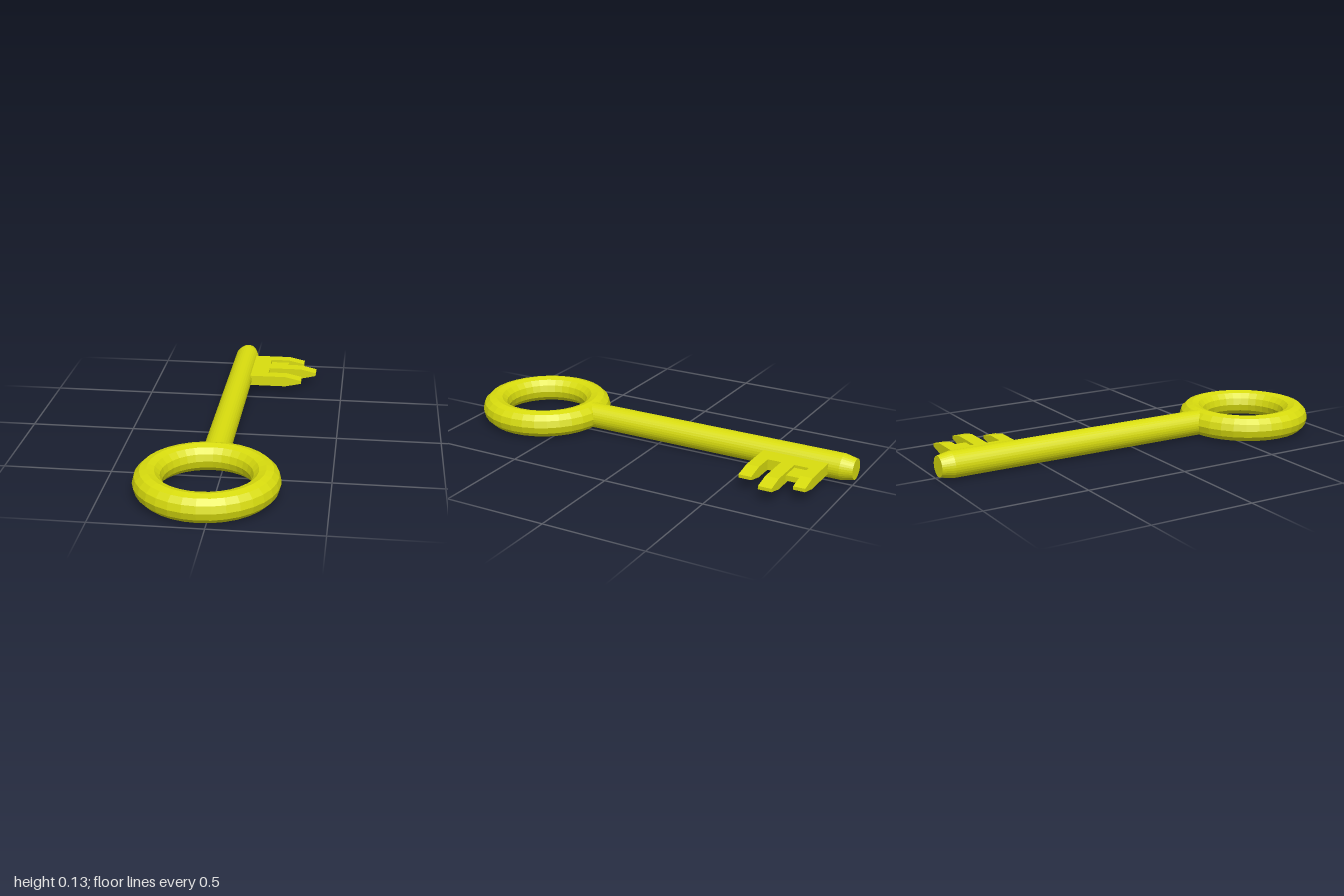
import * as THREE from 'three';

const CX = -0.037; // axis shared by ring and shaft
const CY = 0.065;  // mid-height of the key

export function createModel() {
  const key = new THREE.Group();
  key.name = 'key';
  const material = new THREE.MeshStandardMaterial({ color: 0xd8dc0e, flatShading: true });

  const add = (name, geometry, parent = key) => {
    const mesh = new THREE.Mesh(geometry, material);
    mesh.name = name;
    parent.add(mesh);
    return mesh;
  };

  // Ring handle, lying flat
  const ring = add('ringHandle', new THREE.TorusGeometry(0.26, 0.065, 12, 32).rotateX(Math.PI / 2));
  ring.position.set(CX, CY, 0.675);

  // Round shaft with a tapered tip at the back
  const profile = [[0, -0.4], [0.062, -0.4], [0.062, 0.94], [0.049, 1], [0, 1]]
    .map(([r, h]) => new THREE.Vector2(r, h));
  const shaft = add('shaft', new THREE.LatheGeometry(profile, 32).rotateX(-Math.PI / 2));
  shaft.position.set(CX, CY, 0);

  // Bit: a plate on the left side carrying three tapered teeth
  const bit = new THREE.Group();
  bit.name = 'bit';
  key.add(bit);

  const slab = (name, x0, x1, z0, z1, thickness) => {
    const g = new THREE.BoxGeometry(x1 - x0, thickness, z1 - z0);
    add(name, g, bit).position.set((x0 + x1) / 2, CY, (z0 + z1) / 2);
  };
  slab('bitPlate', CX, 0.11, -0.887, -0.568, 0.052);
  // Thinner web between the rear two teeth
  slab('bitWeb', 0.105, 0.205, -0.832, -0.758, 0.026);

  // Each tooth thins toward its end
  const tooth = (name, xTaper, xEnd, z0, z1) => {
    const h = 0.026, tip = 0.008;
    const outline = new THREE.Shape([
      [0.11, -h], [xTaper, -h], [xEnd, -tip], [xEnd, tip], [xTaper, h], [0.11, h],
    ].map(([x, y]) => new THREE.Vector2(x, y)));
    const g = new THREE.ExtrudeGeometry(outline, { depth: z1 - z0, bevelEnabled: false });
    add(name, g, bit).position.set(0, CY, z0);
  };
  tooth('rearTooth', 0.205, 0.287, -0.887, -0.83);
  tooth('middleTooth', 0.28, 0.358, -0.76, -0.695);
  tooth('frontTooth', 0.205, 0.287, -0.63, -0.568);

  return key;
}
